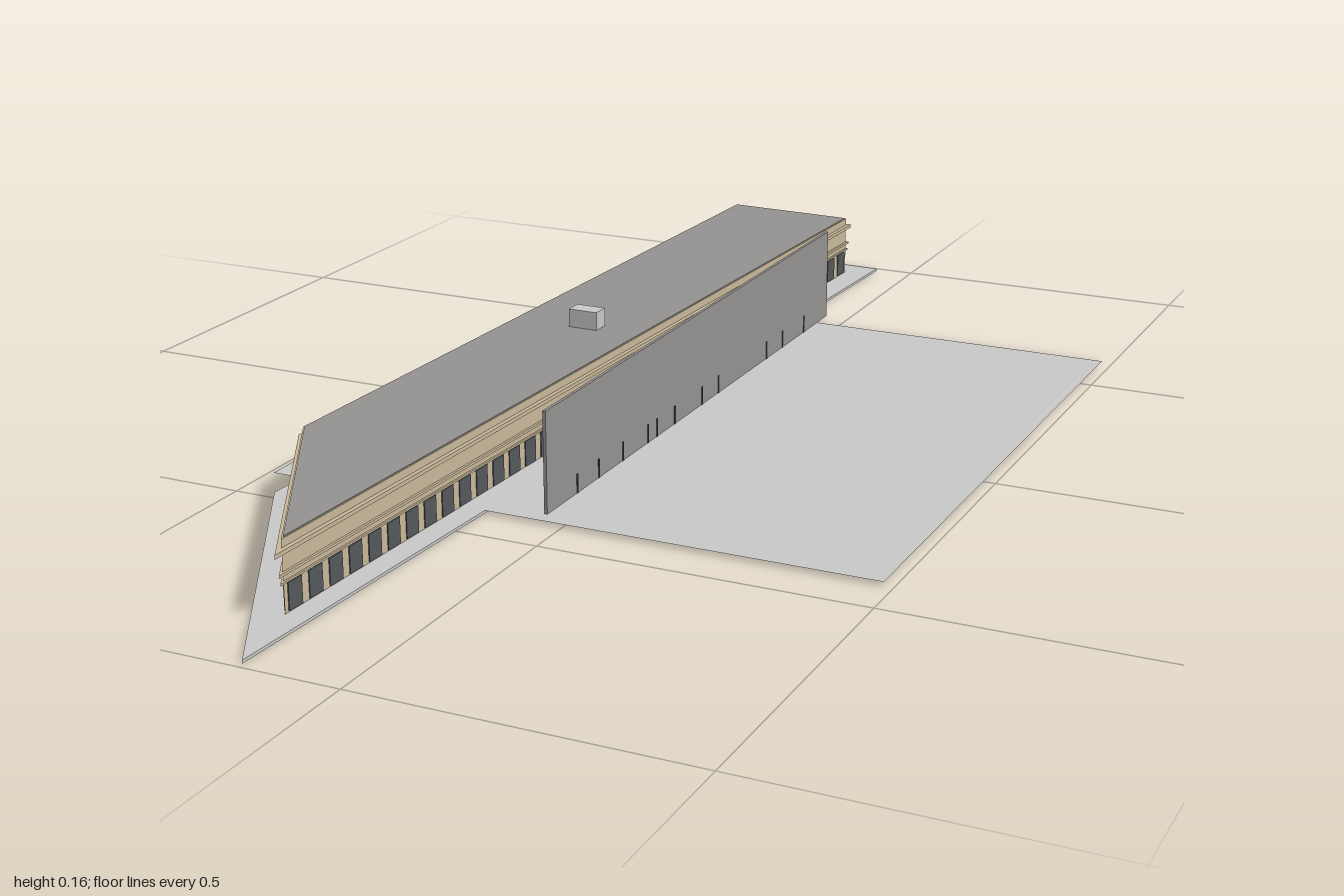
import * as THREE from 'three';

const material = (name, color, side = THREE.FrontSide) => {
  const m = new THREE.MeshStandardMaterial({ color, side });
  m.name = name;
  return m;
};

// Footprints as [x, z], running back left, back right, front tip, front left
const BODY = [[-0.342, -0.948], [-0.112, -0.94], [-0.18, 0.85], [-0.392, 0.478]];
const PLINTH = [[-0.385, -1], [-0.065, -0.985], [-0.15, 0.99], [-0.44, 0.49]];

// Move every edge of a footprint outwards by d
function offset(points, d) {
  const n = points.length;
  const normal = (a, b) => {
    const l = Math.hypot(b[0] - a[0], b[1] - a[1]);
    return [(b[1] - a[1]) / l, -(b[0] - a[0]) / l];
  };
  return points.map((p, i) => {
    const u = normal(points[(i + n - 1) % n], p);
    const v = normal(p, points[(i + 1) % n]);
    const k = d / (1 + u[0] * v[0] + u[1] * v[1]);
    return [p[0] + (u[0] + v[0]) * k, p[1] + (u[1] + v[1]) * k];
  });
}

// Upright prism over a footprint
function prism(points, y0, y1) {
  const shape = new THREE.Shape(points.map(([x, z]) => new THREE.Vector2(x, -z)));
  return new THREE.ExtrudeGeometry(shape, { depth: y1 - y0, bevelEnabled: false })
    .rotateX(-Math.PI / 2)
    .translate(0, y0, 0);
}

export function createModel() {
  const model = new THREE.Group();
  model.name = 'wedgeBuilding';

  const stone = material('sandstone', 0xc8b899);
  const paving = material('pavingGrey', 0xc8c8c8, THREE.DoubleSide);
  const roofing = material('roofGrey', 0x949391);
  const glass = material('windowGrey', 0x54585b);
  const dark = material('postGrey', 0x484848);

  const add = (name, geometry, mat, parent = model) => {
    const mesh = new THREE.Mesh(geometry, mat);
    mesh.name = name;
    parent.add(mesh);
    return mesh;
  };

  // Ground
  add('plinth', prism(PLINTH, 0, 0.0045), paving);
  const plaza = new THREE.PlaneGeometry(0.97, 1.04).rotateX(-Math.PI / 2);
  add('plaza', plaza, paving).position.set(0, 0.0052, -0.095);

  // Building body, string courses and cornice
  add('walls', prism(BODY, 0.003, 0.109), stone);
  add('lowerCourse', prism(offset(BODY, 0.003), 0.048, 0.051), stone);
  add('middleCourse', prism(offset(BODY, 0.004), 0.06, 0.064), stone);
  add('cornice', prism(offset(BODY, 0.007), 0.091, 0.097), stone);
  add('roof', prism(offset(BODY, -0.002), 0.108, 0.1105), roofing);

  // Ground floor windows along every side
  const windows = new THREE.Group();
  windows.name = 'windows';
  model.add(windows);
  const pane = new THREE.BoxGeometry(0.03, 0.04, 0.003);
  BODY.forEach(([ax, az], i) => {
    const [bx, bz] = BODY[(i + 1) % BODY.length];
    const count = Math.round(Math.hypot(bx - ax, bz - az) / 0.046);
    for (let k = 0; k < count; k++) {
      const t = (k + 0.5) / count;
      const w = add('window', pane, glass, windows);
      w.position.set(ax + (bx - ax) * t, 0.026, az + (bz - az) * t);
      w.rotation.y = -Math.atan2(bz - az, bx - ax);
    }
  });

  // Rooftop housing
  add('roofHousing', new THREE.BoxGeometry(0.05, 0.031, 0.03), paving)
    .position.set(-0.242, 0.125, -0.125);

  // Free-standing wall with low posts
  add('screenWall', new THREE.BoxGeometry(0.005, 0.156, 1.06), roofing)
    .position.set(-0.039, 0.083, -0.13);
  const post = new THREE.BoxGeometry(0.007, 0.03, 0.004);
  [0.307, 0.238, 0.158, 0.072, 0.04, -0.024, -0.126, -0.19, -0.388, -0.457, -0.553]
    .forEach((z) => add('post', post, dark).position.set(-0.039, 0.02, z));

  return model;
}
